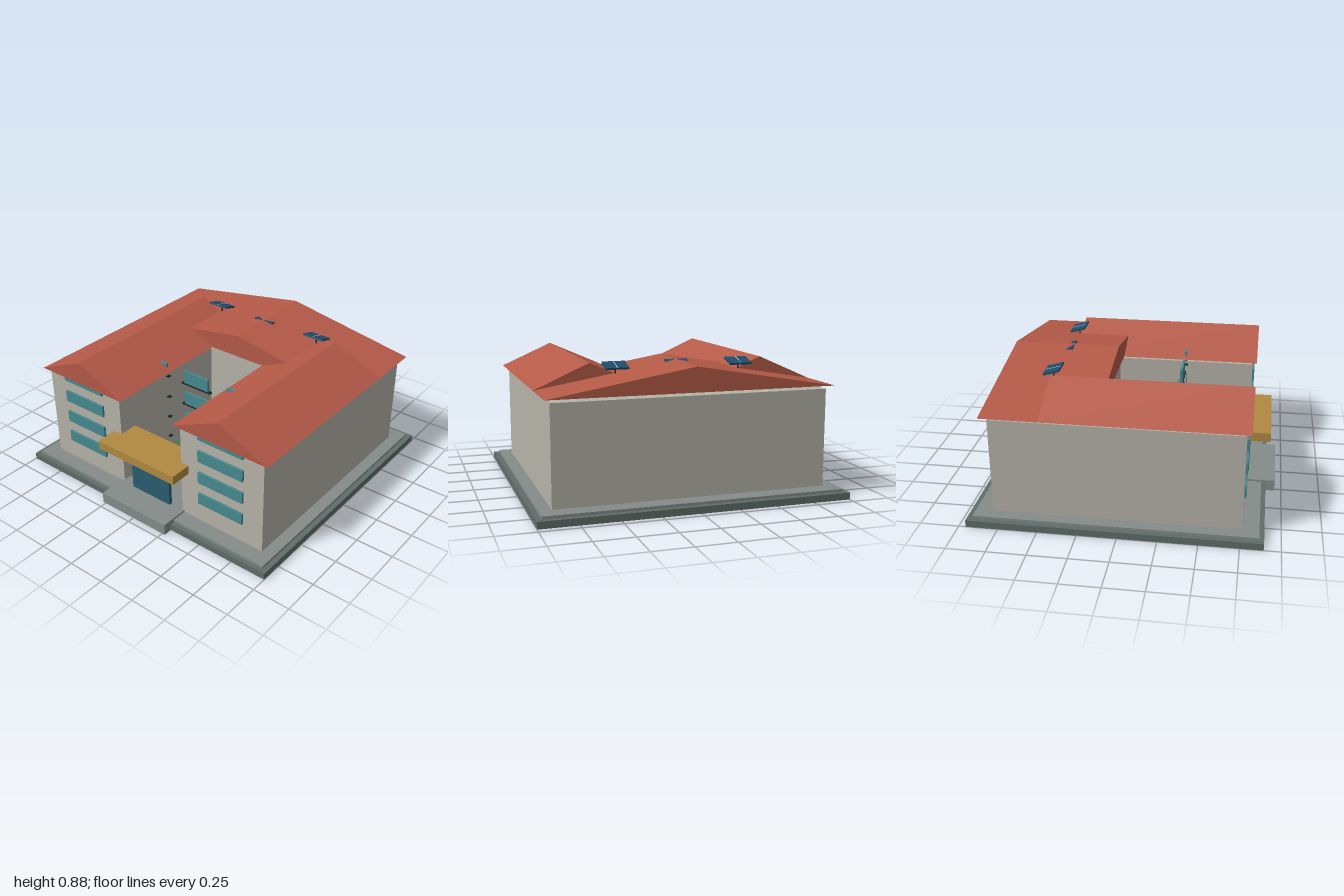
import * as THREE from 'three';

const mat = (color) => new THREE.MeshStandardMaterial({ color, flatShading: true });
const M = {
  base: mat(0x5f6d69), paving: mat(0x858c88), wall: mat(0xb5b3a8), roof: mat(0xb55a48),
  glass: mat(0x478a90), door: mat(0x2a5d70), canopy: mat(0xb08a40), lawn: mat(0x3f7a4d),
  dark: mat(0x1c2528), panel: mat(0x1f4c6b), line: mat(0xc8d4d8), leaf: mat(0x3f7048), trunk: mat(0x5a4632),
};

export function createModel() {
  const model = new THREE.Group();

  const add = (name, geometry, material, parent = model) => {
    const mesh = new THREE.Mesh(geometry, material);
    mesh.name = name;
    parent.add(mesh);
    return mesh;
  };
  // Box given by its extents
  const box = (name, material, x0, x1, y0, y1, z0, z1, parent = model) => {
    const mesh = add(name, new THREE.BoxGeometry(x1 - x0, y1 - y0, z1 - z0), material, parent);
    mesh.position.set((x0 + x1) / 2, (y0 + y1) / 2, (z0 + z1) / 2);
    return mesh;
  };
  // Gable roof with its ridge along z
  const gable = (name, x0, x1, z0, z1) => {
    const shape = new THREE.Shape();
    shape.moveTo(x0, 0.72).lineTo(x1, 0.72).lineTo((x0 + x1) / 2, 0.877).closePath();
    const geometry = new THREE.ExtrudeGeometry(shape, { depth: z1 - z0, bevelEnabled: false });
    add(name, geometry, M.roof).position.z = z0;
  };

  // Ground plates, courtyard lawn and entrance step
  box('basePlate', M.base, -1, 1, 0, 0.045, -0.955, 0.895);
  box('plinth', M.paving, -0.965, 0.965, 0.045, 0.062, -0.918, 0.865);
  box('lawn', M.lawn, -0.255, 0.255, 0.06, 0.093, -0.18, 0.44);
  box('entranceStep', M.paving, -0.27, 0.27, 0, 0.075, 0.7, 0.955);

  // U-shaped building
  box('backBlock', M.wall, -0.885, 0.885, 0.06, 0.695, -0.805, -0.175);
  gable('backRoof', -0.925, 0.925, -0.85, -0.14);
  for (const s of [-1, 1]) {
    const c = s * 0.57;
    box('wing', M.wall, c - 0.315, c + 0.315, 0.06, 0.695, -0.175, 0.76);
    gable('wingRoof', c - 0.355, c + 0.355, -0.48, 0.79);
  }

  // Windows, four storeys
  for (let row = 0; row < 4; row++) {
    const y = 0.203 + row * 0.16;
    for (const s of [-1, 1]) {
      box('frontWindow', M.glass, s * 0.57 - 0.17, s * 0.57 + 0.17, y, y + 0.08, 0.75, 0.775);
    }
    for (const z of [0.295, -0.345]) {
      for (let col = -2; col <= 2; col++) {
        const x = col * 0.355;
        box('courtWindow', M.glass, x - 0.1, x + 0.1, y - 0.008, y + 0.082, z - 0.008, z + 0.008);
        box('windowSill', M.dark, x - 0.12, x + 0.12, y - 0.015, y - 0.007, z - 0.013, z + 0.013);
      }
    }
  }

  // Entrance
  box('door', M.door, -0.16, 0.16, 0.075, 0.39, 0.755, 0.778);
  box('canopy', M.canopy, -0.315, 0.315, 0.385, 0.445, 0.63, 0.908);

  // Solar panels, raised towards the front
  for (const x of [-0.41, 0, 0.41]) {
    const panel = new THREE.Group();
    panel.name = 'solarPanel';
    box('panelSheet', M.panel, -0.075, 0.075, -0.006, 0.006, -0.054, 0.054, panel);
    box('panelDivider', M.line, -0.002, 0.002, 0.004, 0.008, -0.053, 0.053, panel);
    panel.position.set(x, 0.857, -0.497);
    panel.rotation.x = -0.28;
    model.add(panel);
    const post = add('panelPost', new THREE.CylinderGeometry(0.005, 0.005, 0.07, 6), M.dark);
    post.position.set(x, 0.82, -0.497);
  }

  // Courtyard shrubs against the wing walls
  for (const [x, y, z, r] of [[-0.235, 0.158, 0.045, 0.057], [0.253, 0.145, 0.11, 0.05]]) {
    const leaf = add('shrub', new THREE.SphereGeometry(r, 10, 7), M.leaf);
    leaf.position.set(x, y, z);
    const trunk = add('shrubTrunk', new THREE.CylinderGeometry(0.01, 0.012, 0.06, 6), M.trunk);
    trunk.position.set(x, 0.11, z);
  }

  return model;
}
